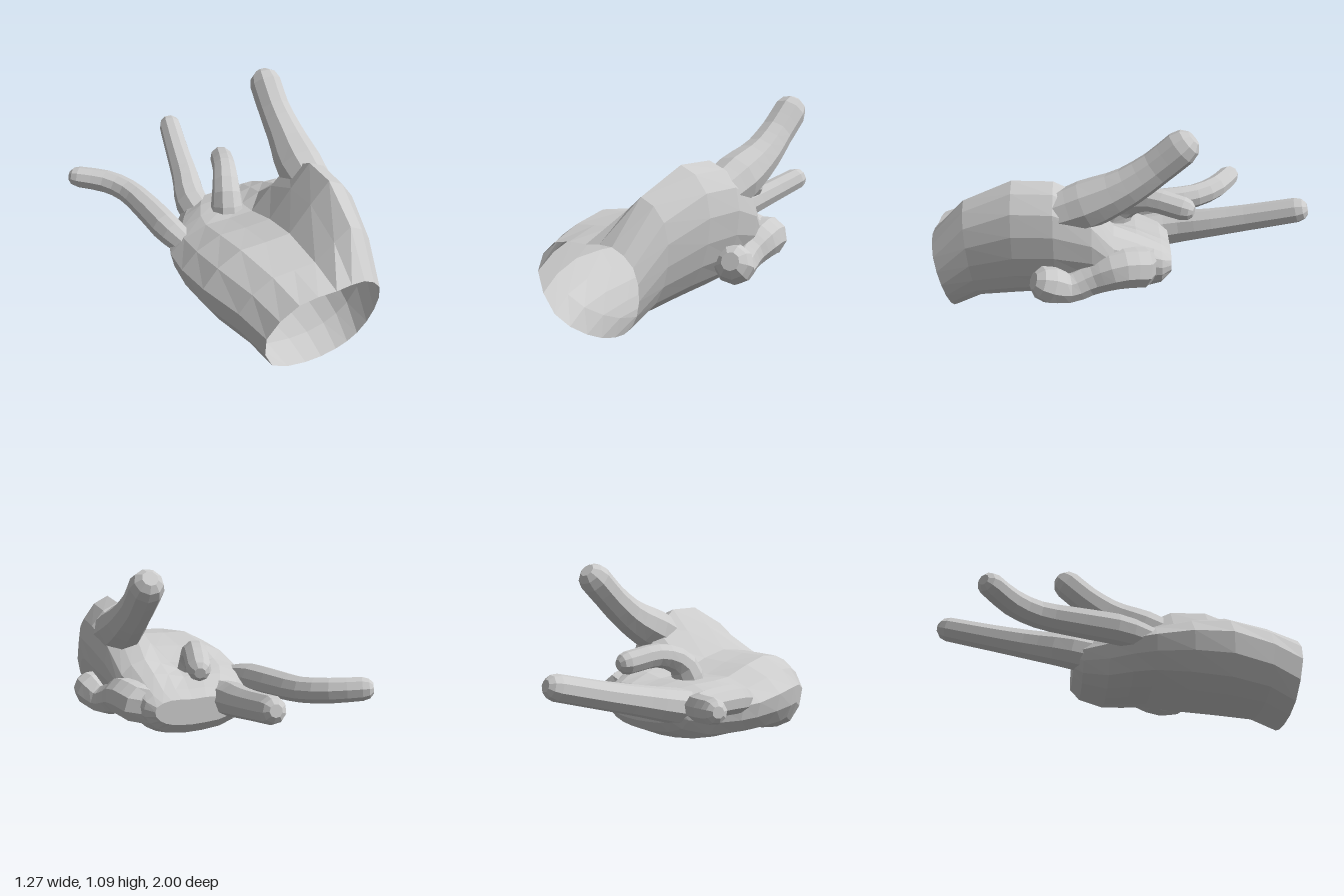
import * as THREE from 'three';

const skin = new THREE.MeshStandardMaterial({ color: 0xcccccc, flatShading: true, side: THREE.DoubleSide });

// Skins a row of closed rings; the far end, and optionally the near end, is closed
function loft(name, rings, closeStart) {
  const n = rings[0].length, pos = [], idx = [];
  rings.forEach(r => r.forEach(p => pos.push(p.x, p.y, p.z)));
  for (let i = 0; i < rings.length - 1; i++) {
    for (let j = 0; j < n; j++) {
      const a = i * n + j, b = i * n + (j + 1) % n;
      idx.push(a, a + n, b, b, a + n, b + n);
    }
  }
  const cap = (ring, start, flip) => {
    const c = new THREE.Vector3();
    ring.forEach(p => c.addScaledVector(p, 1 / n));
    const k = pos.length / 3;
    pos.push(c.x, c.y, c.z);
    for (let j = 0; j < n; j++) {
      const a = start + j, b = start + (j + 1) % n;
      if (flip) idx.push(k, a, b); else idx.push(k, b, a);
    }
  };
  cap(rings[rings.length - 1], (rings.length - 1) * n, false);
  if (closeStart) cap(rings[0], 0, true);
  const geo = new THREE.BufferGeometry();
  geo.setAttribute('position', new THREE.Float32BufferAttribute(pos, 3));
  geo.setIndex(idx);
  geo.computeVertexNormals();
  const mesh = new THREE.Mesh(geo, skin);
  mesh.name = name;
  return mesh;
}

// Finger along a curve, ending in a dome: each path entry is x, y, z, radius
function finger(name, path, steps = 10, sides = 9) {
  const curve = new THREE.CatmullRomCurve3(path.map(p => new THREE.Vector3(p[0], p[1], p[2])));
  const { normals, binormals, tangents } = curve.computeFrenetFrames(steps, false);
  const rings = [];
  const addRing = (i, radius, forward) => {
    const c = curve.getPointAt(i / steps).addScaledVector(tangents[i], forward), ring = [];
    for (let j = 0; j < sides; j++) {
      const a = (j + 0.5) / sides * Math.PI * 2;
      ring.push(c.clone()
        .addScaledVector(normals[i], radius * Math.cos(a))
        .addScaledVector(binormals[i], -radius * Math.sin(a)));
    }
    rings.push(ring);
  };
  for (let i = 0; i <= steps; i++) {
    const f = curve.getUtoTmapping(i / steps) * (path.length - 1);
    const k = Math.min(Math.floor(f), path.length - 2);
    addRing(i, THREE.MathUtils.lerp(path[k][3], path[k + 1][3], f - k), 0);
  }
  const tip = path[path.length - 1][3];
  for (const a of [0.6, 1.1]) addRing(steps, tip * Math.cos(a), tip * Math.sin(a));
  return loft(name, rings, true);
}

// Palm outline as fractions of width and height, anticlockwise from the bottom:
// the thumb side rises to the thumb mound, the other side to the palm hollow
const thumbSide = [[0.42, 0], [0.7, 0.05], [0.88, 0.2], [0.99, 0.5], [0.98, 0.83], [0.81, 1]];
const outerSide = [[0.56, 1], [0.24, 0.96], [0, 0.6], [0.1, 0.14]];

function palmRing([z, lean, left, right, bottom, hollow, mound]) {
  const place = top => ([u, v]) => {
    const y = THREE.MathUtils.lerp(bottom, top, v);
    return new THREE.Vector3(THREE.MathUtils.lerp(left, right, u), y, z + lean * y);
  };
  const outline = [...thumbSide.map(place(mound)), ...outerSide.map(place(hollow))];
  return new THREE.CatmullRomCurve3(outline, true).getPoints(20).slice(0, 20);
}

export function createModel() {
  const hand = new THREE.Group();
  hand.name = 'hand';

  // Hollow palm, open at the slanted wrist
  hand.add(loft('palm', [
    [0.91, 0.19, -0.2, 0.43, 0.003, 0.47, 0.48],
    [0.77, 0.08, -0.26, 0.47, 0.06, 0.52, 0.68],
    [0.57, 0, -0.34, 0.53, 0.08, 0.55, 0.8],
    [0.36, 0, -0.36, 0.555, 0.1, 0.52, 0.8],
    [0.17, 0, -0.34, 0.535, 0.12, 0.47, 0.7],
    [0.06, 0, -0.3, 0.5, 0.12, 0.46, 0.54],
    [-0.06, 0, -0.22, 0.48, 0.125, 0.45, 0.49],
    [-0.19, 0, -0.12, 0.46, 0.18, 0.42, 0.43],
    [-0.24, 0, -0.07, 0.42, 0.24, 0.38, 0.39],
  ].map(palmRing), false));

  // Raised thumb growing out of the thumb mound
  hand.add(finger('thumb', [
    [0.42, 0.61, 0.42, 0.11], [0.43, 0.7, 0.18, 0.128], [0.45, 0.785, 0.01, 0.103],
    [0.455, 0.89, -0.14, 0.09], [0.465, 1, -0.265, 0.09],
  ]));

  // Index finger folded back along the outside of the hand
  hand.add(finger('indexFinger', [
    [0.34, 0.34, 0.02, 0.09], [0.42, 0.34, -0.12, 0.11], [0.475, 0.36, 0.02, 0.11],
    [0.48, 0.31, 0.17, 0.09], [0.51, 0.27, 0.29, 0.082], [0.545, 0.31, 0.385, 0.1],
  ], 14));

  // Middle finger rising out of the palm and hooking forward
  hand.add(finger('middleFinger', [
    [0.08, 0.28, 0.06, 0.1], [0.06, 0.4, 0.06, 0.1], [0.075, 0.53, 0.01, 0.08],
    [0.13, 0.59, -0.12, 0.067], [0.205, 0.565, -0.315, 0.064],
  ]));

  // Ring finger held straight out
  hand.add(finger('ringFinger', [
    [-0.02, 0.31, -0.06, 0.1], [-0.02, 0.35, -0.25, 0.096], [0.035, 0.4, -0.45, 0.082],
    [0.08, 0.45, -0.65, 0.074], [0.145, 0.525, -0.93, 0.068],
  ]));

  // Little finger spread to the side
  hand.add(finger('littleFinger', [
    [-0.22, 0.33, 0.2, 0.06], [-0.275, 0.37, 0, 0.082], [-0.3, 0.39, -0.2, 0.078],
    [-0.345, 0.41, -0.44, 0.07], [-0.43, 0.43, -0.57, 0.068], [-0.565, 0.447, -0.665, 0.063],
  ], 12));

  return hand;
}
